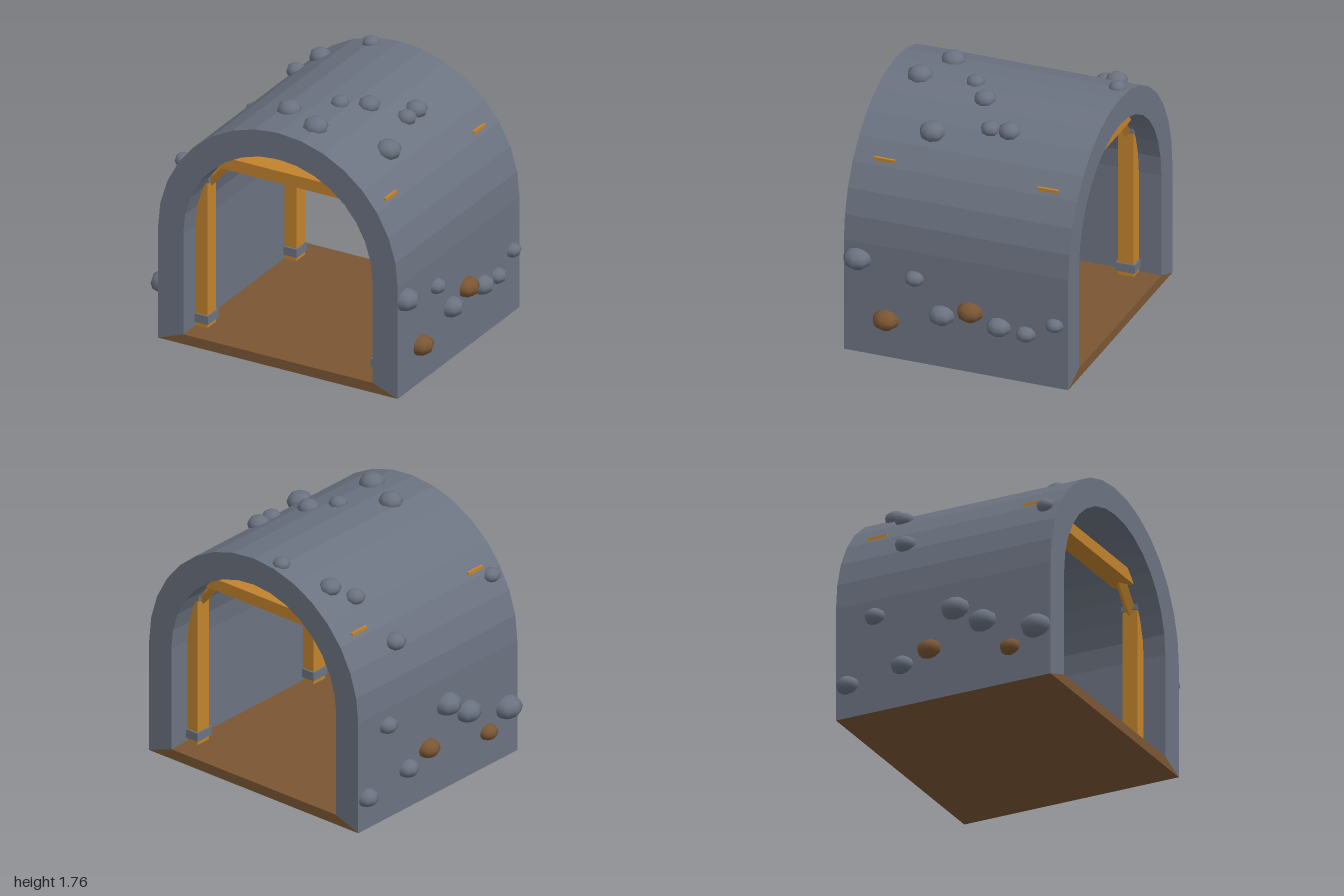
import * as THREE from 'three';

const stone = new THREE.MeshStandardMaterial({ color: 0x6b7280 });
stone.name = 'grey stone';
const earth = new THREE.MeshStandardMaterial({ color: 0x7a5633 });
earth.name = 'brown earth';
const wood = new THREE.MeshStandardMaterial({ color: 0xc1832d });
wood.name = 'timber';

const DEPTH = 1.57, SPRING = 0.8, R_OUT = 0.9, R_IN = 0.71, FLOOR = 0.07, SEGS = 16;

function add(parent, name, geometry, material, x = 0, y = 0, z = 0) {
  const mesh = new THREE.Mesh(geometry, material);
  mesh.name = name;
  mesh.position.set(x, y, z);
  parent.add(mesh);
  return mesh;
}

// Points of a half circle running from +x over the top to -x
function arc(radius) {
  return Array.from({ length: SEGS + 1 }, (_, i) => {
    const a = (i / SEGS) * Math.PI;
    return new THREE.Vector2(radius * Math.cos(a), SPRING + radius * Math.sin(a));
  });
}

function extrude(points) {
  const geometry = new THREE.ExtrudeGeometry(new THREE.Shape(points), { depth: DEPTH, bevelEnabled: false });
  return geometry.translate(0, 0, -DEPTH / 2);
}

// One timber support: cross beam, two posts, shoes, braces and brackets
function supportFrame(z) {
  const frame = new THREE.Group();
  frame.name = 'supportFrame';
  frame.position.z = z;
  add(frame, 'crossBeam', new THREE.BoxGeometry(1.46, 0.085, 0.145), wood, 0, 1.3025);
  for (const s of [-1, 1]) {
    add(frame, 'post', new THREE.BoxGeometry(0.11, 1.21, 0.11), wood, s * 0.675, 0.665);
    add(frame, 'postShoe', new THREE.BoxGeometry(0.13, 0.06, 0.135), stone, s * 0.675, 0.13);
    const brace = add(frame, 'brace', new THREE.CylinderGeometry(0.038, 0.038, 0.28, 4).toNonIndexed(), wood,
      s * 0.572, 1.19);
    brace.geometry.computeVertexNormals();
    brace.rotation.z = s * 0.71;
    add(frame, 'bracket', new THREE.BoxGeometry(0.03, 0.04, 0.12), stone, s * 0.625, 1.14);
  }
  return frame;
}

// Side rocks: z, y, radius, brown?
const rightRocks = [
  [0.69, 0.68, 0.097], [0.49, 0.27, 0.092, true], [0.29, 0.61, 0.068], [0.10, 0.38, 0.09],
  [-0.10, 0.44, 0.09, true], [-0.30, 0.37, 0.085], [-0.49, 0.355, 0.07], [-0.69, 0.455, 0.063],
];
const leftRocks = [
  [0.68, 0.36, 0.105], [0.49, 0.25, 0.072, true], [0.29, 0.48, 0.098], [0.09, 0.61, 0.1],
  [-0.10, 0.36, 0.085, true], [-0.30, 0.29, 0.08], [-0.50, 0.68, 0.073], [-0.70, 0.23, 0.08],
];
// Roof rocks: x, z, radius
const roofRocks = [
  [-0.165, -0.70, 0.06], [-0.47, -0.57, 0.075], [-0.58, -0.45, 0.068], [0.465, -0.20, 0.077],
  [0.47, -0.07, 0.068], [0.26, 0.055, 0.075], [0.115, 0.18, 0.063], [0.55, 0.305, 0.09],
  [-0.12, 0.43, 0.083], [0.15, 0.555, 0.087], [-0.81, -0.32, 0.076], [-0.765, 0.68, 0.063],
];

export function createModel() {
  const model = new THREE.Group();
  model.name = 'tunnel';

  // Stone vault, its feet sloping down to the edges of the floor
  add(model, 'vault', extrude([
    new THREE.Vector2(R_OUT, 0), ...arc(R_OUT), new THREE.Vector2(-R_OUT, 0),
    new THREE.Vector2(-R_IN, FLOOR), ...arc(R_IN).reverse(), new THREE.Vector2(R_IN, FLOOR),
  ]), stone);

  // Earth floor
  add(model, 'floor', extrude([
    new THREE.Vector2(-R_OUT, 0), new THREE.Vector2(R_OUT, 0),
    new THREE.Vector2(R_IN, FLOOR), new THREE.Vector2(-R_IN, FLOOR),
  ]), earth);

  for (const z of [-0.572, 0.572]) model.add(supportFrame(z));

  // Flattened rocks half sunk into the shell
  const rocks = new THREE.Group();
  rocks.name = 'rocks';
  model.add(rocks);
  const rockShape = new THREE.SphereGeometry(1, 8, 6);
  const rock = (x, y, z, r, brown) =>
    add(rocks, 'rock', rockShape, brown ? earth : stone, x, y, z).scale.set(r, r * 0.76, r);
  for (const [z, y, r, brown] of rightRocks) rock(R_OUT, y, z, r, brown);
  for (const [z, y, r, brown] of leftRocks) rock(-R_OUT, y, z, r, brown);
  for (const [x, z, r] of roofRocks) rock(x, SPRING + Math.sqrt(R_OUT * R_OUT - x * x), z, r);

  return model;
}
